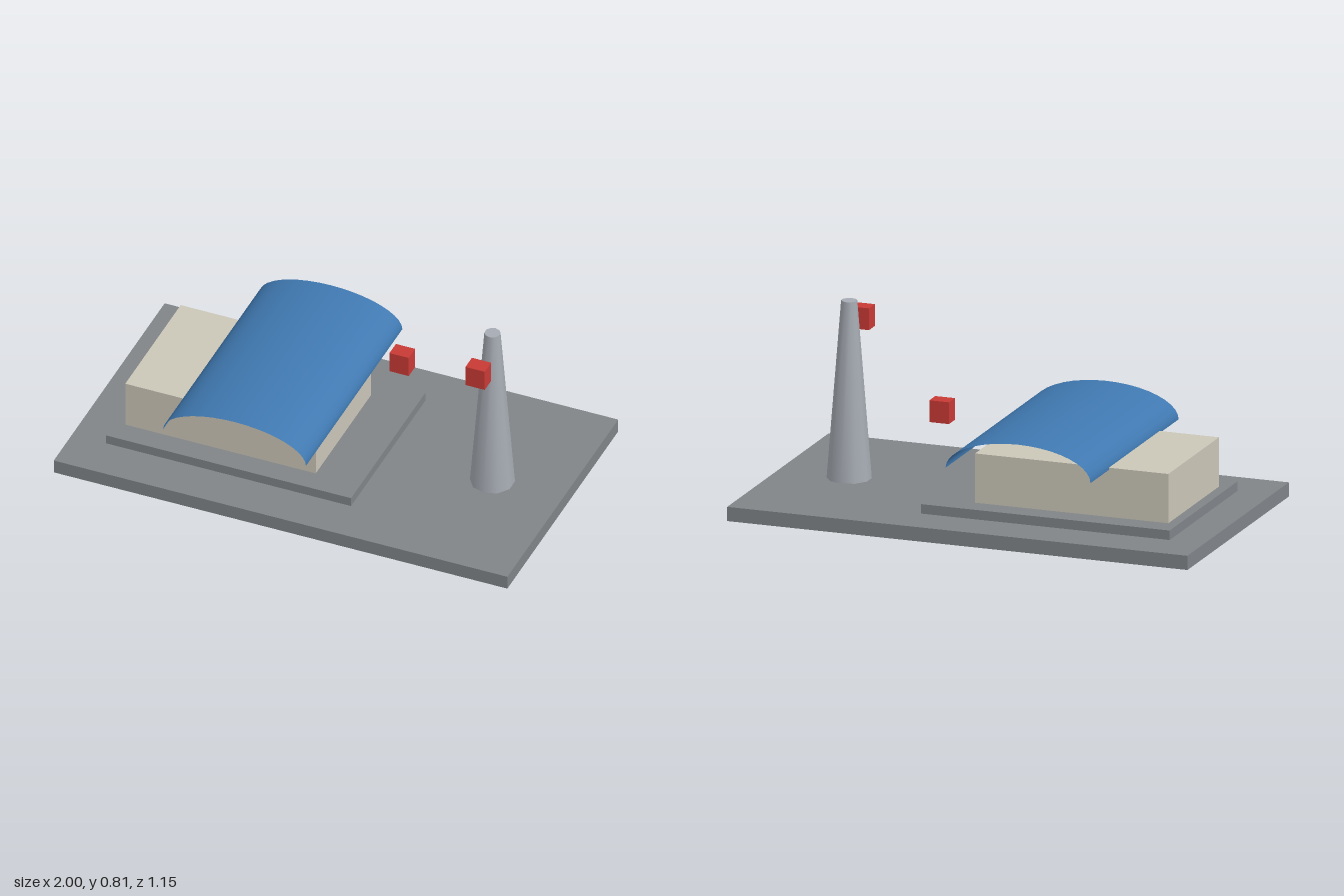
import * as THREE from 'three';

const material = (name, color, side = THREE.FrontSide) => {
  const m = new THREE.MeshStandardMaterial({ color, side });
  m.name = name;
  return m;
};

export function createModel() {
  const model = new THREE.Group();
  model.name = 'plant';

  const concrete = material('concrete grey', 0x808488);
  const chimneyGrey = material('chimney grey', 0xa6abb3);
  const wall = material('wall beige', 0xcbc6b8);
  const roofBlue = material('roof blue', 0x3f78b0, THREE.DoubleSide);
  const red = material('marker red', 0xc93a35);

  const add = (name, geometry, mat, x, y, z) => {
    const mesh = new THREE.Mesh(geometry, mat);
    mesh.name = name;
    mesh.position.set(x, y, z);
    model.add(mesh);
    return mesh;
  };
  const box = (name, mat, [w, h, d], x, y, z) =>
    add(name, new THREE.BoxGeometry(w, h, d), mat, x, y, z);

  // Ground slab, raised pad and hall
  box('groundSlab', concrete, [2, 0.06, 1.15], 0, 0.03, 0);
  box('pad', concrete, [1.08, 0.04, 0.77], -0.31, 0.08, 0);
  box('hall', wall, [0.84, 0.208, 0.575], -0.387, 0.204, 0);

  // Thin vaulted roof: open half cylinder, flattened to an elliptical arch
  const roof = new THREE.CylinderGeometry(1, 1, 1, 20, 1, true, Math.PI / 2, Math.PI);
  roof.rotateX(Math.PI / 2);
  roof.scale(0.315, 0.13, 1);
  add('vaultedRoof', roof, roofBlue, -0.235, 0.3, 0);

  // Tapered chimney
  add('chimney', new THREE.CylinderGeometry(0.033, 0.092, 0.75, 10), chimneyGrey, 0.69, 0.435, 0);

  // Floating red markers
  const markerSize = [0.085, 0.092, 0.067];
  box('lowMarker', red, markerSize, 0.23, 0.433, -0.147);
  box('highMarker', red, markerSize, 0.69, 0.703, 0.147);

  return model;
}
